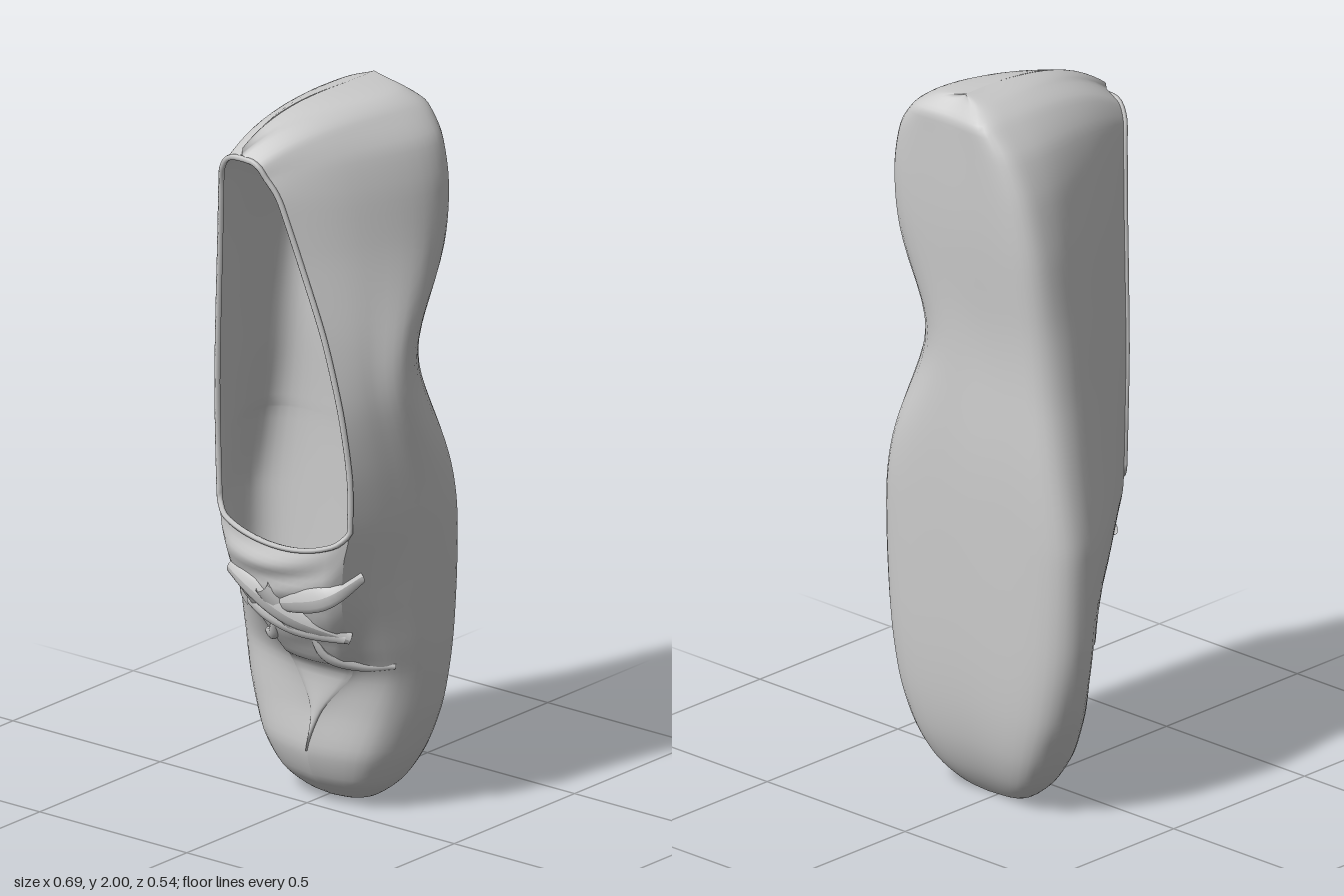
import * as THREE from 'three';

const material = new THREE.MeshStandardMaterial({ color: 0xcccccc, side: THREE.DoubleSide });
const { smoothstep, clamp, lerp } = THREE.MathUtils;

// Sections from toe tip to heel: [y, xMin, xMax, zTop, upper edge min x, upper edge max x]
const stations = [
  [0.00, 0.035, 0.035, -0.11, 0.035, 0.035],
  [0.012, -0.09, 0.12, -0.07, 0.02, 0.02],
  [0.07, -0.17, 0.195, -0.005, 0.02, 0.02],
  [0.16, -0.232, 0.25, 0.03, 0.025, 0.025],
  [0.28, -0.288, 0.292, 0.022, 0.03, 0.07],
  [0.40, -0.322, 0.315, 0.022, -0.03, 0.17],
  [0.50, -0.338, 0.326, 0.08, -0.06, 0.21],
  [0.64, -0.347, 0.334, 0.155, -0.11, 0.245],
  [0.78, -0.349, 0.339, 0.185, -0.135, 0.275],
  [0.87, -0.339, 0.341, 0.182, -0.148, 0.293],
  [1.02, -0.312, 0.34, 0.18, -0.155, 0.292],
  [1.20, -0.28, 0.336, 0.19, -0.15, 0.27],
  [1.40, -0.255, 0.327, 0.20, -0.138, 0.222],
  [1.60, -0.232, 0.313, 0.215, -0.12, 0.155],
  [1.76, -0.195, 0.30, 0.235, -0.10, 0.105],
  [1.87, -0.145, 0.272, 0.25, -0.085, 0.07],
  [1.945, -0.075, 0.215, 0.26, -0.06, 0.048],
  [1.98, -0.015, 0.155, 0.265, -0.005, -0.005],
  [2.00, 0.05, 0.05, 0.262, -0.005, -0.005],
];
const SUB = 5, AROUND = 48;
const VAMP_START = 4, VAMP_END = 9, LAST = stations.length - 1;

// Smooth interpolation of every station field
function stationAt(t) {
  const i = Math.min(Math.floor(t), LAST - 1), f = t - i;
  const at = (k) => stations[clamp(k, 0, LAST)];
  return stations[0].map((_, c) => {
    const p0 = at(i - 1)[c], p1 = at(i)[c], p2 = at(i + 1)[c], p3 = at(i + 2)[c];
    const a = (p2 - p0) * 0.4, b = (p3 - p1) * 0.4;
    return p1 + f * (a + f * (3 * (p2 - p1) - 2 * a - b + f * (2 * (p1 - p2) + a + b)));
  });
}

// Sole height along the length: toe spring, slight arch, rounded heel end
const soleZ = (y) => -0.264 + 0.114 * Math.exp(-y / 0.12)
  + 0.02 * Math.exp(-(((y - 1.32) / 0.25) ** 2)) + 0.05 * smoothstep(y, 1.93, 2);

// One section: upper edge, down the side, across the sole, up to the other edge
function section([y, xMin, xMax, zTop, o0, o1], inset) {
  const gap = Math.min(inset, (xMax - xMin) * 0.3);
  const x0 = xMin + gap, x1 = xMax - gap, zb = soleZ(y) + gap * 1.6, zt = zTop - gap * 0.4;
  const seam = (o0 + o1) / 2, e0 = Math.min(o0, seam), e1 = Math.max(o1, seam);
  const mid = (x0 + x1) / 2, half = (x1 - x0) / 2, h = zt - zb;
  const zl = zb + Math.min(0.11, h * 0.4);
  // Walls are round at the toe and straighter beside the opening
  const k0 = 0.04 + 0.16 * (1 - smoothstep(y, 0.25, 0.6));
  const k1 = 0.06 + 0.16 * (1 - smoothstep(y, 0.25, 0.8));
  // The inner side is undercut at the arch
  const arch = Math.exp(-(((y - 1.27) / 0.24) ** 2));
  const v = (x, z) => new THREE.Vector2(x, z);
  const wall = (x, e, k, low) => v(x + (e - x) * (0.5 - k), low + (zt - low) * (0.5 + k));
  const zr = zl + 0.11 * arch;
  const profile = new THREE.SplineCurve([
    v(e0, zt), wall(x0, e0, k0, zl), v(x0, zl), v(mid - half * 0.82, zb + 0.006), v(mid - half * 0.15 * arch, zb + 0.004),
    v(mid + half * (0.84 - 0.36 * arch), zb + 0.006 + 0.012 * arch), v(x1, zr), wall(x1, e1, k1, zr), v(e1, zt),
  ]);
  // The heel top slopes down towards the opening
  const drop = 0.095 * smoothstep(y, 1.75, 2), shift = y > 1 ? gap : 0;
  return profile.getPoints(AROUND).map((p) => {
    const t = clamp((p.y - zb) / h, 0, 1);
    return new THREE.Vector3(p.x, y - drop * t ** 4 - shift * (1 - t * t), p.y);
  });
}

function rowsBetween(from, to, inset) {
  const rows = [];
  for (let i = from * SUB; i <= to * SUB; i++) rows.push(section(stationAt(i / SUB), inset));
  return rows;
}

// Vamp row between the two upper edges, arched and dipping in the middle
function vampRow(row) {
  const a = row[AROUND], b = row[0], N = 16;
  const lift = 0.008 + 0.03 * smoothstep(a.y, 0.41, 0.44);
  return Array.from({ length: N + 1 }, (_, j) => {
    const u = j / N, s = Math.sqrt(Math.max(0, Math.sin(Math.PI * u)));
    const ripple = 0.006 * Math.sin(a.y * 45 + u * 5) * smoothstep(a.y, 0.45, 0.55);
    return new THREE.Vector3(lerp(a.x, b.x, u), a.y - 0.075 * s * smoothstep(a.y, 0.6, 0.87), a.z + (lift + ripple) * s);
  });
}

function loft(rows) {
  const w = rows[0].length, index = [];
  for (let i = 0; i < rows.length - 1; i++) for (let j = 0; j < w - 1; j++) {
    const a = i * w + j, b = a + 1, c = a + w, d = c + 1;
    index.push(a, c, b, b, c, d);
  }
  const g = new THREE.BufferGeometry().setFromPoints(rows.flat());
  g.setIndex(index);
  g.computeVertexNormals();
  return g;
}

// Flattened, tapered fold of cloth along a curve
function fold(points, radius, ends = 0.5) {
  const curve = new THREE.CatmullRomCurve3(points), N = 20, R = 10;
  const g = new THREE.TubeGeometry(curve, N, radius, R);
  const pos = g.attributes.position, p = new THREE.Vector3();
  for (let i = 0; i <= N; i++) {
    const c = curve.getPointAt(i / N), s = ends + (1 - ends) * Math.sin(Math.PI * i / N);
    for (let j = 0; j <= R; j++) {
      const k = i * (R + 1) + j;
      p.fromBufferAttribute(pos, k).sub(c).multiplyScalar(s);
      p.z *= 0.5;
      p.add(c);
      pos.setXYZ(k, p.x, p.y, p.z);
    }
  }
  g.computeVertexNormals();
  return g;
}

export function createModel() {
  const group = new THREE.Group();
  const add = (name, geometry) => {
    const mesh = new THREE.Mesh(geometry, material);
    mesh.name = name;
    group.add(mesh);
  };

  // Sides and sole in one shell, with a lining inside
  const rows = rowsBetween(0, LAST, 0);
  add('shoeShell', loft(rows));
  add('lining', loft(rowsBetween(6, LAST - 1, 0.022)));

  // Vamp panel over the forefoot
  const vamp = rows.slice(VAMP_START * SUB - SUB, VAMP_END * SUB + 1).map(vampRow);
  add('vamp', loft(vamp));

  // Bound edge around the foot opening
  const open = rows.slice(VAMP_END * SUB).filter((r) => r[AROUND].x - r[0].x > 0.04);
  const edge = [
    ...open.map((r) => r[0]),
    ...open.map((r) => r[AROUND]).reverse(),
    ...vamp[vamp.length - 1].slice(1, -1),
  ];
  add('openingRim', new THREE.TubeGeometry(new THREE.CatmullRomCurve3(edge, true), 160, 0.008, 6, true));

  // Lay a path of x, y points on the forefoot
  const front = [...vamp, ...rows].flat().filter((p) => p.z > -0.1 && p.y > 0.3 && p.y < 1);
  const path = (list, lift) => list.map(([x, y]) => {
    const distance = (p) => (p.x - x) ** 2 + (p.y - y) ** 2;
    const nearest = front.reduce((a, b) => (distance(b) < distance(a) ? b : a));
    return new THREE.Vector3(x, y, nearest.z + lift);
  });

  // Gathered bow across the vamp
  add('bowUpperFold', fold(path([[-0.11, 0.69], [-0.03, 0.66], [0.08, 0.60], [0.23, 0.54]], 0), 0.036));
  add('bowLowerFold', fold(path([[-0.10, 0.58], [0, 0.58], [0.1, 0.56], [0.22, 0.54]], 0), 0.032));
  add('bowSideFold', fold(path([[0.04, 0.62], [0.13, 0.65], [0.22, 0.68], [0.28, 0.73]], 0), 0.036));
  add('bowKnot', fold(path([[0.02, 0.67], [0.05, 0.62], [0.09, 0.56]], 0.006), 0.034, 0.7));
  // Creases of the gathered cloth
  add('leftCrease', fold(path([[0.12, 0.53], [0.14, 0.47], [0.2, 0.44], [0.28, 0.44]], -0.004), 0.018));
  add('rightCrease', fold(path([[0, 0.55], [-0.03, 0.5], [-0.1, 0.47]], -0.004), 0.018));
  return group;
}
